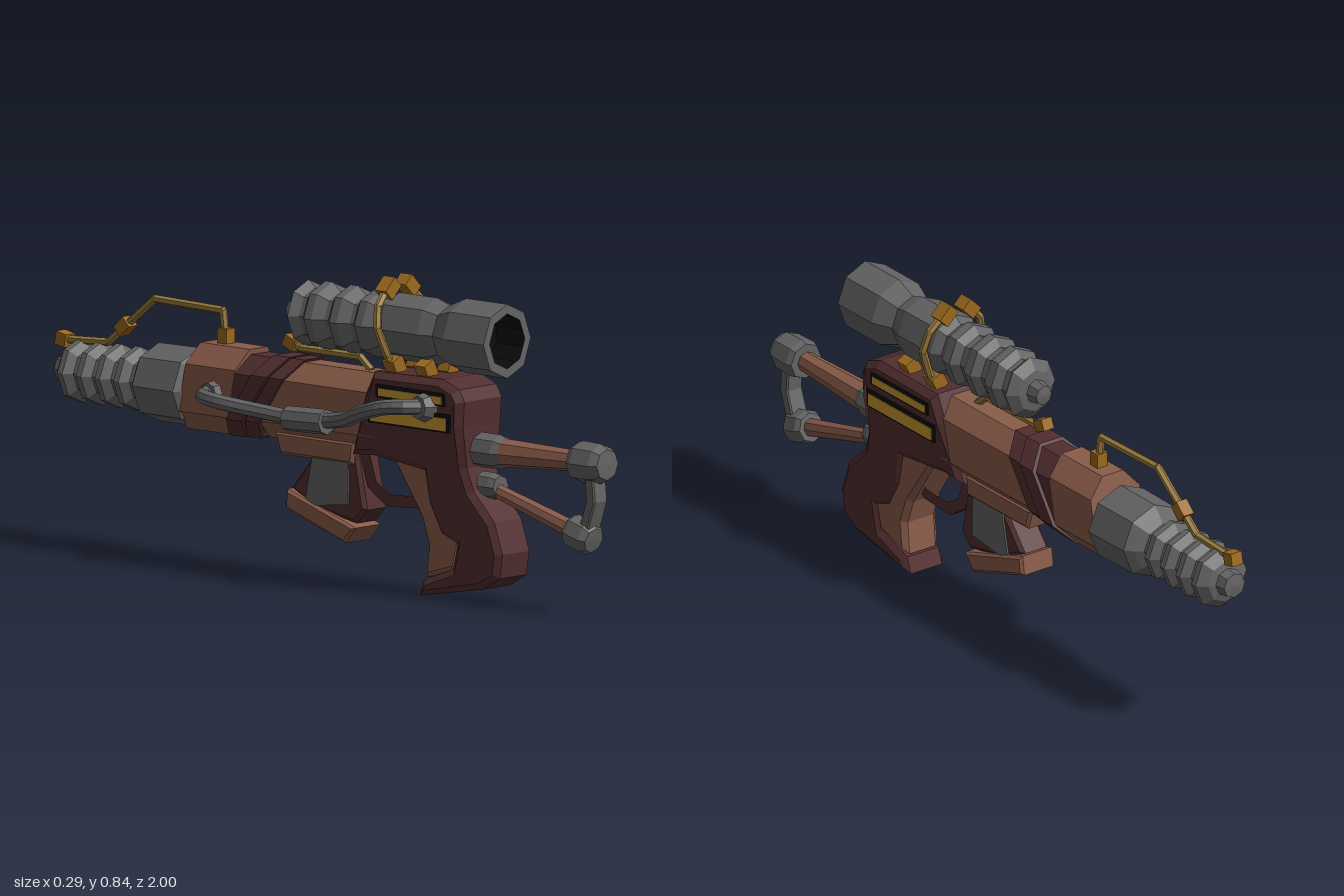
import * as THREE from 'three';

const CX = 0.04; // centre plane of the weapon
const mat = (name, color) => {
  const m = new THREE.MeshStandardMaterial({ color, flatShading: true });
  m.name = name;
  return m;
};

export function createModel() {
  const maroon = mat('dark maroon wood', 0x522e2f);
  const wood = mat('brown wood', 0x8a5c4a);
  const steel = mat('grey steel', 0x646464);
  const gold = mat('gold', 0x9c6a1e);
  const brass = mat('brass pipe', 0x9a7c3c);
  const bright = mat('bright gold', 0xc8982f);
  const black = mat('black', 0x0c0c0c);

  const root = new THREE.Group();
  root.name = 'fantasyRifle';
  const add = (name, geo, material, x = CX, y = 0, z = 0) => {
    const m = new THREE.Mesh(geo, material);
    m.name = name;
    m.position.set(x, y, z);
    root.add(m);
    return m;
  };
  const path = (pts) => pts.map(([a, b]) => new THREE.Vector2(a, b));

  // Side profile [z, y] extruded across x, with chamfered edges
  const slab = (pts, half, bevel = 0.01, hole = null) => {
    const shape = new THREE.Shape(path(pts));
    if (hole) shape.holes.push(new THREE.Path(path(hole)));
    const depth = 2 * (half - bevel);
    const g = new THREE.ExtrudeGeometry(shape, {
      depth, bevelEnabled: bevel > 0, bevelThickness: bevel, bevelSize: bevel, bevelOffset: -bevel, bevelSegments: 1,
    });
    return g.translate(0, 0, -depth / 2).rotateY(-Math.PI / 2);
  };
  // Turned part along z; profile [radius, z] in ascending z
  const turned = (pts, sides = 8) => new THREE.LatheGeometry(path(pts), sides).rotateX(Math.PI / 2);
  // Rod between two points
  const rod = (name, a, b, r0, r1, material, sides = 8) => {
    const A = new THREE.Vector3(...a), B = new THREE.Vector3(...b);
    const d = B.clone().sub(A);
    const m = add(name, new THREE.CylinderGeometry(r1, r0, d.length(), sides), material);
    m.position.copy(A).add(B).multiplyScalar(0.5);
    m.quaternion.setFromUnitVectors(new THREE.Vector3(0, 1, 0), d.normalize());
    return m;
  };
  const pipe = (name, pts, r, material) => {
    for (let i = 1; i < pts.length; i++) rod(name, pts[i - 1], pts[i], r, r, material, 6);
    for (const p of pts.slice(1, -1)) add(name + 'Elbow', new THREE.IcosahedronGeometry(r * 1.05, 0), material, ...p);
  };
  const block = (name, w, h, d, material, x, y, z) => add(name, new THREE.BoxGeometry(w, h, d), material, x, y, z);

  // Chamfered eight-sided body along z, ends slanted by k
  const body = (half, h, z0, z1, k = 0) => {
    const c = half * 0.42, e = h * 0.55;
    const shape = new THREE.Shape(path([[-c, -h], [c, -h], [half, -e], [half, e], [c, h], [-c, h], [-half, e], [-half, -e]]));
    const g = new THREE.ExtrudeGeometry(shape, { depth: z1 - z0, bevelEnabled: false }).translate(0, 0, z0);
    const p = g.attributes.position;
    for (let i = 0; i < p.count; i++) p.setZ(i, p.getZ(i) + k * p.getY(i));
    return g;
  };

  // Receiver, slanted wraps and fore-end
  const BY = 0.47;
  add('receiver', body(0.076, 0.107, -0.2, 0.25), wood, CX, BY);
  add('wrapCore', body(0.08, 0.108, -0.31, -0.18, 0.4), maroon, CX, BY);
  add('wrapRear', body(0.084, 0.114, -0.2, -0.15, 0.7), maroon, CX, BY);
  add('wrapFront', body(0.09, 0.116, -0.262, -0.205, 0.7), maroon, CX, BY);
  add('foreEnd', body(0.082, 0.118, -0.475, -0.295, 0.2), wood, CX, BY + 0.003);

  // Muzzle with ribs
  const muzzle = [[0, -0.99], [0.035, -0.985], [0.04, -0.955], [0.06, -0.95]];
  for (let i = 0; i < 4; i++) {
    const z = -0.925 + i * 0.068;
    muzzle.push([0.086, z], [0.086, z + 0.018], [0.062, z + 0.036], [0.062, z + 0.05]);
  }
  muzzle.push([0.084, -0.655], [0.105, -0.635], [0.107, -0.485], [0.09, -0.475], [0, -0.47]);
  add('muzzle', turned(muzzle), steel, CX, 0.462);

  // Scope with ribs, collar and dark eyepiece
  const scope = [[0, -0.155], [0.028, -0.15], [0.034, -0.115], [0.06, -0.112], [0.09, -0.09]];
  for (let i = 0; i < 3; i++) {
    const z = -0.065 + i * 0.092;
    scope.push([0.07, z], [0.07, z + 0.015], [0.092, z + 0.036], [0.092, z + 0.062]);
  }
  scope.push([0.07, 0.215], [0.09, 0.24], [0.09, 0.38], [0.075, 0.425], [0.1, 0.485], [0.1, 0.633], [0.074, 0.633]);
  add('scope', turned(scope), steel, CX, 0.705).scale.x = 0.92;
  add('eyepieceHole', turned([[0.075, 0.633], [0.07, 0.53], [0, 0.53]], 10), black, CX, 0.705);

  // Rear body and grip back, narrowing downwards
  const frame = slab([
    [0.527, 0.572], [0.47, 0.594], [0.22, 0.59], [0.185, 0.52], [0.125, 0.355], [0.21, 0.36], [0.385, 0.335],
    [0.4, 0.25], [0.445, 0.17], [0.5, 0.15], [0.485, 0.083], [0.38, 0.045], [0.365, 0], [0.595, 0.04],
    [0.655, 0.075], [0.665, 0.14], [0.635, 0.225], [0.56, 0.3], [0.54, 0.36], [0.54, 0.47], [0.545, 0.54],
  ], 0.09, 0.018);
  const fp = frame.attributes.position;
  for (let i = 0; i < fp.count; i++) {
    const t = THREE.MathUtils.clamp((fp.getY(i) - 0.33) / 0.14, 0, 1);
    fp.setX(i, fp.getX(i) * (0.72 + 0.28 * t));
  }
  add('rearBody', frame, maroon);
  add('gripFront', slab([[0.42, 0.36], [0.26, 0.37], [0.365, 0.21], [0.39, 0.14], [0.382, 0.05], [0.5, 0.08], [0.52, 0.16], [0.45, 0.25]], 0.058, 0.015), wood);

  // Side slots
  for (const s of [-1, 1]) {
    for (const [z, y, len, h] of [[0.365, 0.542, 0.23, 0.02], [0.36, 0.479, 0.275, 0.034]]) {
      block('slotFrame', 0.006, h + 0.016, len + 0.02, black, CX + s * 0.089, y, z);
      block('slot', 0.008, h, len, bright, CX + s * 0.09, y - 0.003, z);
    }
  }

  // Trigger and guard
  add('trigger', slab([[0.37, 0.27], [0.345, 0.36], [0.255, 0.37], [0.34, 0.275]], 0.016, 0), bright);
  add('triggerGuard', slab(
    [[0.385, 0.37], [0.375, 0.265], [0.335, 0.228], [0.22, 0.222], [0.155, 0.265], [0.12, 0.37]], 0.03, 0,
    [[0.355, 0.36], [0.352, 0.28], [0.325, 0.258], [0.23, 0.255], [0.185, 0.285], [0.16, 0.36]]), maroon);

  // Magazine, side panels, foot and rail
  add('magazine', slab([[0.125, 0.365], [0.158, 0.205], [0.12, 0.165], [-0.02, 0.19], [-0.115, 0.237], [-0.03, 0.34], [-0.03, 0.365]], 0.045), maroon);
  for (const s of [-1, 1]) {
    add('magazinePanel', slab([[0.098, 0.335], [-0.03, 0.335], [-0.055, 0.215], [-0.02, 0.2], [0.1, 0.215]], 0.004, 0), steel, CX + s * 0.046);
  }
  add('magazineFoot', slab([[0.128, 0.155], [-0.12, 0.235], [-0.128, 0.182], [0.09, 0.11]], 0.056, 0.008), wood);
  add('lowerRail', slab([[0.125, 0.385], [-0.165, 0.385], [-0.145, 0.325], [0.12, 0.325]], 0.055, 0.008), wood);

  // Shoulder stock: two bars, caps and a linking strap
  add('upperSocket', turned([[0, 0.53], [0.047, 0.53], [0.047, 0.61], [0.038, 0.632], [0, 0.632]]), steel, CX, 0.405);
  rod('upperBar', [CX, 0.405, 0.62], [CX, 0.412, 0.92], 0.039, 0.027, wood);
  add('upperCap', turned([[0, 0.892], [0.05, 0.892], [0.056, 0.91], [0.054, 0.975], [0.042, 0.998], [0, 1]]), steel, CX, 0.412);
  add('lowerSocket', turned([[0, 0.52], [0.036, 0.53], [0.036, 0.59], [0.03, 0.61], [0, 0.61]]), steel, CX, 0.312);
  rod('lowerBar', [CX, 0.305, 0.58], [CX, 0.22, 0.89], 0.02, 0.026, wood);
  add('lowerCap', turned([[0, -0.04], [0.04, -0.04], [0.048, -0.025], [0.048, 0.025], [0.035, 0.043], [0, 0.045]]), steel, CX, 0.215, 0.907).rotation.x = 0.27;
  add('stockStrap', slab([[0.967, 0.4], [0.975, 0.31], [0.95, 0.235], [0.915, 0.235], [0.942, 0.31], [0.935, 0.4]], 0.026, 0.004), steel);

  // Hose on the right side
  const hose = new THREE.CatmullRomCurve3([
    [-0.02, 0.47, -0.36], [-0.085, 0.47, -0.36], [-0.112, 0.465, -0.29], [-0.09, 0.45, -0.15], [-0.07, 0.44, 0],
    [-0.078, 0.455, 0.14], [-0.115, 0.49, 0.25], [-0.124, 0.515, 0.34], [-0.1, 0.52, 0.4], [-0.035, 0.515, 0.42],
  ].map((p) => new THREE.Vector3(...p)));
  add('hose', new THREE.TubeGeometry(hose, 36, 0.021, 8), steel, 0);
  rod('hoseSleeve', [-0.07, 0.437, -0.06], [-0.07, 0.442, 0.08], 0.034, 0.034, steel);
  rod('hoseFrontFitting', [-0.03, 0.47, -0.36], [-0.065, 0.47, -0.36], 0.035, 0.03, steel);
  rod('hoseRearFitting', [-0.035, 0.515, 0.42], [-0.075, 0.517, 0.415], 0.045, 0.032, steel);

  // Scope clamps, mirrored
  for (const s of [-1, 1]) {
    pipe('clampPipe', [[CX + s * 0.05, 0.6, 0.265], [CX + s * 0.07, 0.635, 0.262], [CX + s * 0.098, 0.71, 0.252],
      [CX + s * 0.085, 0.765, 0.242], [CX + s * 0.04, 0.812, 0.235]], 0.011, brass);
    block('clampBlock', 0.036, 0.05, 0.042, gold, CX + s * 0.038, 0.811, 0.235).rotation.z = s * Math.PI / 4;
    for (const z of [0.265, 0.38]) block('scopeFoot', 0.04, 0.045, 0.04, gold, CX + s * 0.045, 0.608, z).rotation.z = s * -0.45;
  }

  // Pipe under the scope
  pipe('lowerPipe', [[CX, 0.575, 0.14], [CX, 0.607, 0.1], [CX, 0.607, -0.12], [CX, 0.62, -0.15]], 0.011, brass);
  block('lowerPipeEnd', 0.034, 0.032, 0.04, gold, CX, 0.62, -0.148).rotation.x = 0.4;

  // Pipe along the muzzle
  pipe('muzzlePipe', [[CX, 0.59, -0.39], [CX, 0.678, -0.4], [CX, 0.683, -0.65], [CX, 0.6, -0.755], [CX, 0.548, -0.82], [CX, 0.54, -0.97]], 0.011, brass);
  block('pipeFoot', 0.034, 0.04, 0.034, gold, CX, 0.612, -0.39);
  block('pipeJoint', 0.034, 0.034, 0.045, gold, CX, 0.598, -0.757).rotation.x = -0.75;
  block('pipeEnd', 0.036, 0.036, 0.036, gold, CX, 0.541, -0.978).rotation.x = 0.2;

  return root;
}
